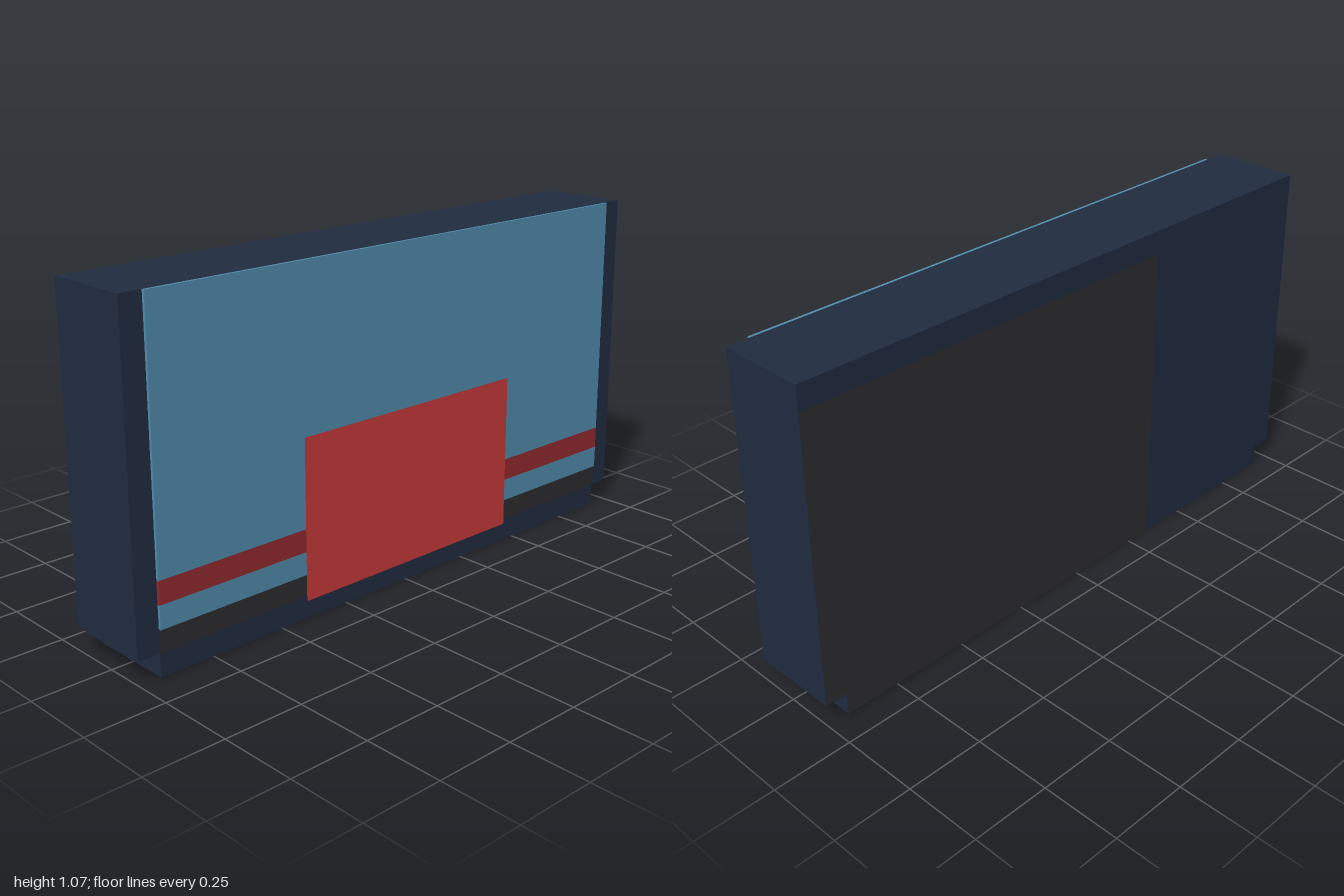
import * as THREE from 'three';

const material = (name, color, side = THREE.FrontSide) => {
  const m = new THREE.MeshStandardMaterial({ color, side });
  m.name = name;
  return m;
};

export function createModel() {
  const navy = material('navy', 0x212c41);
  const blue = material('blue', 0x518cae);
  const darkRed = material('dark red', 0x942a2e);
  const red = material('red', 0xca3a3a, THREE.DoubleSide);
  const charcoal = material('charcoal', 0x2d2c30);

  const model = new THREE.Group();
  model.name = 'wallUnit';

  // Box given by its extents on each axis
  const box = (name, mat, [x0, x1], [y0, y1], [z0, z1]) => {
    const mesh = new THREE.Mesh(new THREE.BoxGeometry(x1 - x0, y1 - y0, z1 - z0), mat);
    mesh.position.set((x0 + x1) / 2, (y0 + y1) / 2, (z0 + z1) / 2);
    mesh.name = name;
    model.add(mesh);
  };

  // Flat face on the front, or turned round to face the back
  const face = (name, mat, [x0, x1], [y0, y1], z, back = false) => {
    const mesh = new THREE.Mesh(new THREE.PlaneGeometry(x1 - x0, y1 - y0), mat);
    mesh.position.set((x0 + x1) / 2, (y0 + y1) / 2, z);
    if (back) mesh.rotation.y = Math.PI;
    mesh.name = name;
    model.add(mesh);
  };

  const inner = [-0.928, 0.928];
  const depth = [-0.157, 0.129];
  const panelDepth = [0.129, 0.138];

  // Main body on a narrower base
  box('body', navy, [-1, 1], [0.0715, 1.072], depth);
  box('base', navy, inner, [0, 0.0715], depth);

  // Front panel, split by a stripe
  box('upperPanel', blue, inner, [0.286, 1.072], panelDepth);
  box('stripe', darkRed, inner, [0.215, 0.286], panelDepth);
  box('lowerPanel', blue, inner, [0.143, 0.215], panelDepth);
  face('kickStrip', charcoal, inner, [0.0715, 0.143], 0.1302);

  // Large plate held out by a small mount
  box('plateMount', darkRed, [-0.214, 0.214], [0.215, 0.357], [0.138, 0.156]);
  face('frontPlate', red, [-0.428, 0.428], [0.0715, 0.572], 0.157);

  // Dark area on the back
  face('backPatch', charcoal, [-0.34, 1], [0.0715, 0.995], -0.158, true);
  face('backPatchBase', charcoal, [-0.34, 0.928], [0, 0.0715], -0.158, true);

  return model;
}
